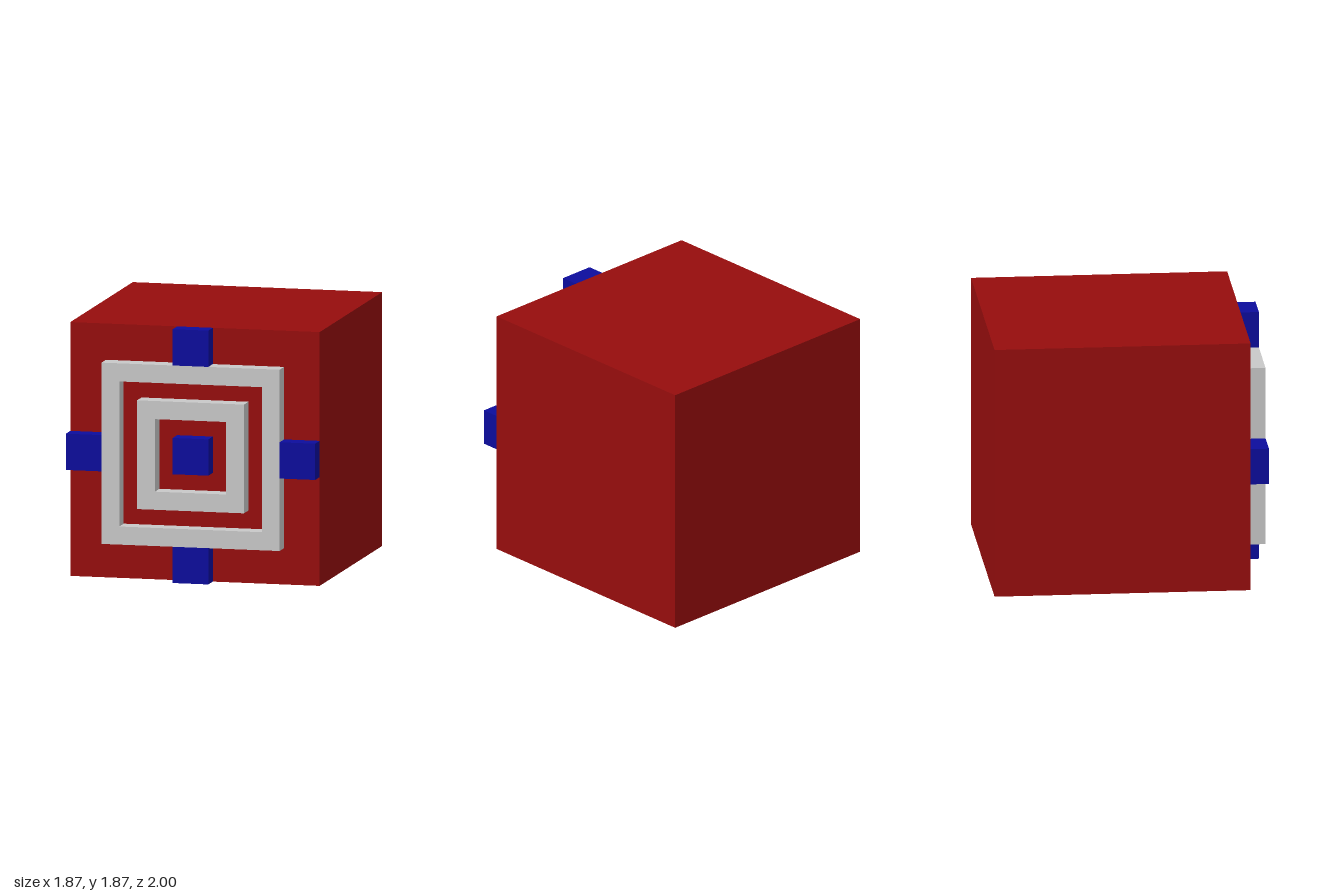
import * as THREE from 'three';

const U = 2 / 15; // grid unit: the block is 14 units wide, its relief 1 unit deep

export function createModel() {
  const material = (name, color) => {
    const m = new THREE.MeshStandardMaterial({ color });
    m.name = name;
    return m;
  };
  const red = material('red', 0x960d0d);
  const grey = material('light grey', 0xc8c8c8);
  const blue = material('blue', 0x0c0c9c);

  const model = new THREE.Group();
  model.name = 'reliefBlock';
  const add = (name, geometry, mat, x, y, z) => {
    const mesh = new THREE.Mesh(geometry, mat);
    mesh.name = name;
    mesh.position.set(x * U, y * U, z * U);
    model.add(mesh);
  };

  // Main block, set back to leave room for the relief on its front
  add('block', new THREE.BoxGeometry(14 * U, 14 * U, 14 * U), red, 0, 7, -0.5);

  // Raised square frames, one unit wide
  const square = (Type, half) => {
    const h = half * U;
    return new Type([[-h, -h], [h, -h], [h, h], [-h, h]].map(([x, y]) => new THREE.Vector2(x, y)));
  };
  for (const [name, half] of [['outerFrame', 5], ['innerFrame', 3]]) {
    const shape = square(THREE.Shape, half);
    shape.holes.push(square(THREE.Path, half - 1));
    add(name, new THREE.ExtrudeGeometry(shape, { depth: U, bevelEnabled: false }), grey, 0, 7, 6.5);
  }

  // Centre stud and the four edge studs
  const stud = new THREE.BoxGeometry(2 * U, 2 * U, U);
  const studs = [
    ['centreStud', 0, 0], ['leftStud', 6, 0], ['rightStud', -6, 0],
    ['topStud', 0, 6], ['bottomStud', 0, -6],
  ];
  for (const [name, x, y] of studs) add(name, stud, blue, x, 7 + y, 7);

  return model;
}
